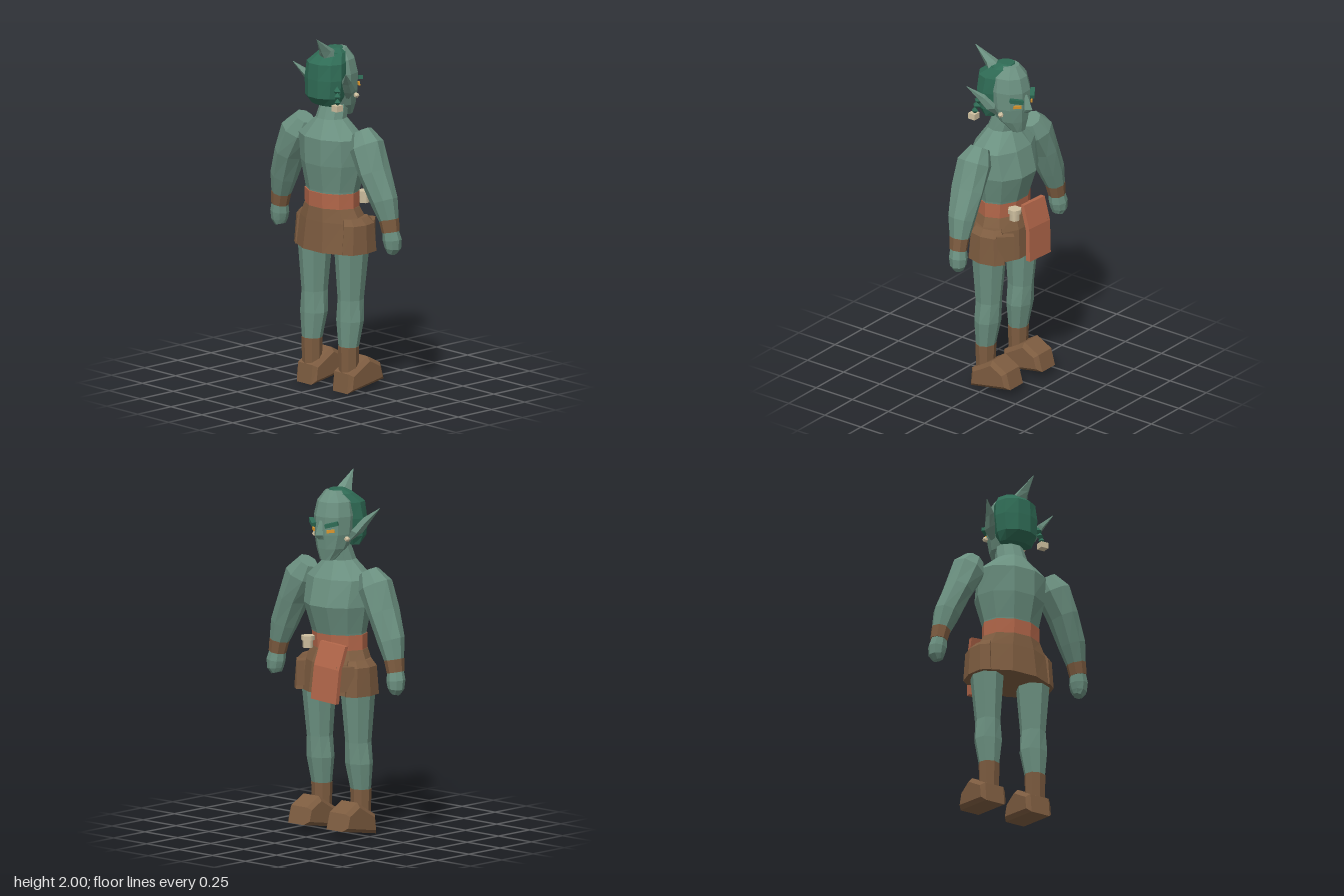
import * as THREE from 'three';

const mat = (name, color) => {
  const m = new THREE.MeshStandardMaterial({ color });
  m.name = name;
  return m;
};

// Faceted body lofted through rings [x, y, z, radiusAcross, radiusZ].
// With upright = true rings stay level, otherwise they follow the path in the xy plane.
function loft(rings, sides, upright = true) {
  const pos = [];
  const loops = rings.map(([x, y, z, ra, rz], k) => {
    const a = rings[Math.max(k - 1, 0)], b = rings[Math.min(k + 1, rings.length - 1)];
    const dir = upright ? new THREE.Vector2(0, Math.sign(b[1] - a[1])) : new THREE.Vector2(b[0] - a[0], b[1] - a[1]).normalize();
    return Array.from({ length: sides }, (_, i) => {
      const t = (i / sides) * Math.PI * 2, c = Math.cos(t) * ra;
      return [x + dir.y * c, y - dir.x * c, z + Math.sin(t) * rz];
    });
  });
  const tri = (...p) => p.forEach((v) => pos.push(...v));
  const last = loops.length - 1;
  for (let i = 0; i < sides; i++) {
    const j = (i + 1) % sides;
    for (let k = 0; k < last; k++) {
      const a = loops[k], b = loops[k + 1];
      tri(a[i], b[i], a[j]);
      tri(a[j], b[i], b[j]);
    }
    tri(rings[0].slice(0, 3), loops[0][i], loops[0][j]);
    tri(rings[last].slice(0, 3), loops[last][j], loops[last][i]);
  }
  const g = new THREE.BufferGeometry();
  g.setAttribute('position', new THREE.Float32BufferAttribute(pos, 3));
  g.computeVertexNormals();
  return g;
}

// Side profile of [z, y] points extruded across x, centred on x = 0
function sideExtrude(points, width, bevel = 0) {
  const shape = new THREE.Shape(points.map(([z, y]) => new THREE.Vector2(-z, y)));
  const g = new THREE.ExtrudeGeometry(shape, {
    depth: width - 2 * bevel, bevelEnabled: bevel > 0, bevelSegments: 1,
    bevelSize: bevel, bevelThickness: bevel, bevelOffset: -bevel,
  });
  g.translate(0, 0, bevel - width / 2);
  return g.rotateY(Math.PI / 2);
}

export function createModel() {
  const root = new THREE.Group();
  root.name = 'goblin';
  const skin = mat('skin green', 0x6b9080);
  const hair = mat('hair green', 0x2f6b55);
  const leather = mat('brown leather', 0x7d5c40);
  const cloth = mat('rust cloth', 0xb3674a);
  const bone = mat('bone', 0xcfc0a0);
  const amber = mat('amber eye', 0xd9962e);

  const add = (name, geometry, material, x = 0, y = 0, z = 0) => {
    const m = new THREE.Mesh(geometry, material);
    m.name = name;
    m.position.set(x, y, z);
    root.add(m);
    return m;
  };

  // Torso and neck
  add('torso', loft([
    [0, 1.08, 0.02, 0.165, 0.12], [0, 1.13, 0.015, 0.17, 0.13], [0, 1.28, 0.005, 0.205, 0.168],
    [0, 1.43, 0.025, 0.21, 0.15], [0, 1.53, 0.025, 0.09, 0.085], [0, 1.63, -0.005, 0.075, 0.075],
  ], 10), skin);

  // Belt, skirt and hanging cloth
  add('belt', loft([[0, 1.02, 0.02, 0.172, 0.128], [0, 1.12, 0.02, 0.172, 0.132]], 10), cloth);
  add('skirt', loft([
    [0, 0.79, 0.01, 0.25, 0.165], [0, 0.96, 0.01, 0.215, 0.15], [0, 1.035, 0.02, 0.174, 0.13],
  ], 10), leather);
  add('apron', sideExtrude([
    [-0.1, 1.08], [-0.125, 1.08], [-0.168, 0.95], [-0.182, 0.76], [-0.155, 0.76], [-0.145, 0.94],
  ], 0.19), cloth, -0.02).rotation.z = 0.06;

  // Small bone pot on the belt
  add('beltPot', new THREE.CylinderGeometry(0.03, 0.03, 0.06, 6).toNonIndexed(), bone, 0.1, 1.065, -0.13);
  add('potRim', new THREE.CylinderGeometry(0.04, 0.04, 0.025, 6).toNonIndexed(), bone, 0.1, 1.09, -0.13);

  // Head and nose
  add('head', loft([
    [0, 1.535, -0.08, 0.045, 0.035], [0, 1.6, -0.04, 0.088, 0.088], [0, 1.68, -0.02, 0.11, 0.118],
    [0, 1.78, -0.015, 0.115, 0.125], [0, 1.86, -0.01, 0.1, 0.11], [0, 1.918, -0.025, 0.05, 0.05],
  ], 10), skin);
  add('nose', loft([
    [0, 1.655, -0.13, 0.022, 0.02], [0, 1.68, -0.145, 0.028, 0.032], [0, 1.76, -0.13, 0.012, 0.012],
  ], 4), skin);

  // Hair cap with a curved horn on the crown
  add('hair', loft([
    [0, 1.61, 0.07, 0.1, 0.05], [0, 1.66, 0.075, 0.122, 0.095], [0, 1.76, 0.07, 0.13, 0.1],
    [0, 1.85, 0.06, 0.118, 0.105], [0, 1.9, 0.02, 0.08, 0.075], [0, 1.925, 0, 0.04, 0.045],
  ], 10), hair);
  add('hornBase', loft([[0.02, 1.86, 0.05, 0.06, 0.06], [0.02, 1.905, 0.045, 0.05, 0.05]], 6), hair);
  add('horn', loft([
    [0.02, 1.87, 0.06, 0.058, 0.05], [0.03, 1.92, 0.09, 0.036, 0.05], [0.05, 2.0, 0.18, 0.002, 0.002],
  ], 5), skin);

  // Braid with its bone ring
  for (let i = 0; i < 3; i++) {
    add('braid', new THREE.OctahedronGeometry(0.026 - i * 0.002), hair, 0.128 + i * 0.008, 1.71 - i * 0.03, 0.1 + i * 0.006);
  }
  add('braidRing', new THREE.BoxGeometry(0.045, 0.034, 0.045), bone, 0.146, 1.618, 0.118);

  for (const s of [1, -1]) {
    // Face details and ears
    const eye = add('eye', new THREE.BoxGeometry(0.045, 0.017, 0.009), amber, s * 0.065, 1.705, -0.122);
    eye.rotation.set(0, s * -0.62, s * 0.1);
    const brow = add('eyebrow', new THREE.BoxGeometry(0.075, 0.022, 0.026), hair, s * 0.072, 1.742, -0.122);
    brow.rotation.set(0, s * -0.6, s * 0.25);
    add('ear', loft([
      [s * 0.1, 1.65, -0.005, 0.012, 0.015], [s * 0.135, 1.7, 0.02, 0.026, 0.045],
      [s * 0.16, 1.755, 0.06, 0.022, 0.035], [s * 0.213, 1.82, 0.115, 0.002, 0.002],
    ], 5, false), skin);
    add('earStud', new THREE.IcosahedronGeometry(0.017), bone, s * 0.122, 1.66, -0.05);

    // Arm, wrist band and fist
    add('arm', loft([
      [s * 0.23, 1.485, 0.01, 0.058, 0.055], [s * 0.275, 1.41, 0.015, 0.098, 0.098],
      [s * 0.34, 1.27, 0.015, 0.08, 0.1], [s * 0.405, 1.12, 0.005, 0.076, 0.078],
      [s * 0.436, 1.015, -0.003, 0.054, 0.056],
    ], 8, false), skin);
    add('wristBand', loft([
      [s * 0.435, 1.02, -0.003, 0.056, 0.057], [s * 0.449, 0.95, -0.005, 0.049, 0.05],
    ], 8, false), leather);
    add('hand', loft([
      [s * 0.447, 0.955, -0.005, 0.046, 0.046], [s * 0.455, 0.905, -0.01, 0.054, 0.052],
      [s * 0.458, 0.86, -0.012, 0.046, 0.046], [s * 0.45, 0.832, -0.01, 0.028, 0.03],
    ], 8, false), skin);

    // Hip pouch and front skirt flap
    add('hipPouch', loft([
      [s * 0.19, 0.79, -0.005, 0.068, 0.125], [s * 0.188, 0.95, -0.005, 0.062, 0.11], [s * 0.17, 0.985, 0, 0.045, 0.09],
    ], 8), leather);
    add('skirtFlap', new THREE.BoxGeometry(0.1, 0.14, 0.045), leather, s * 0.17, 0.89, -0.115).rotation.y = s * -0.8;

    // Leg and boot
    add('leg', loft([
      [s * 0.148, 0.24, 0.033, 0.058, 0.052], [s * 0.146, 0.4, 0.02, 0.082, 0.072],
      [s * 0.146, 0.52, 0.015, 0.07, 0.075], [s * 0.148, 0.8, 0.01, 0.092, 0.1], [s * 0.14, 0.86, 0.01, 0.09, 0.1],
    ], 8), skin);
    add('bootShaft', loft([
      [s * 0.148, 0.03, 0.033, 0.055, 0.05], [s * 0.148, 0.255, 0.033, 0.062, 0.056],
    ], 8), leather);
    add('bootFoot', sideExtrude([
      [0.095, 0], [-0.178, 0.045], [-0.152, 0.14], [-0.055, 0.192], [0.005, 0.155], [0.085, 0.11],
    ], 0.16, 0.022), leather, s * 0.146);
  }
  return root;
}
